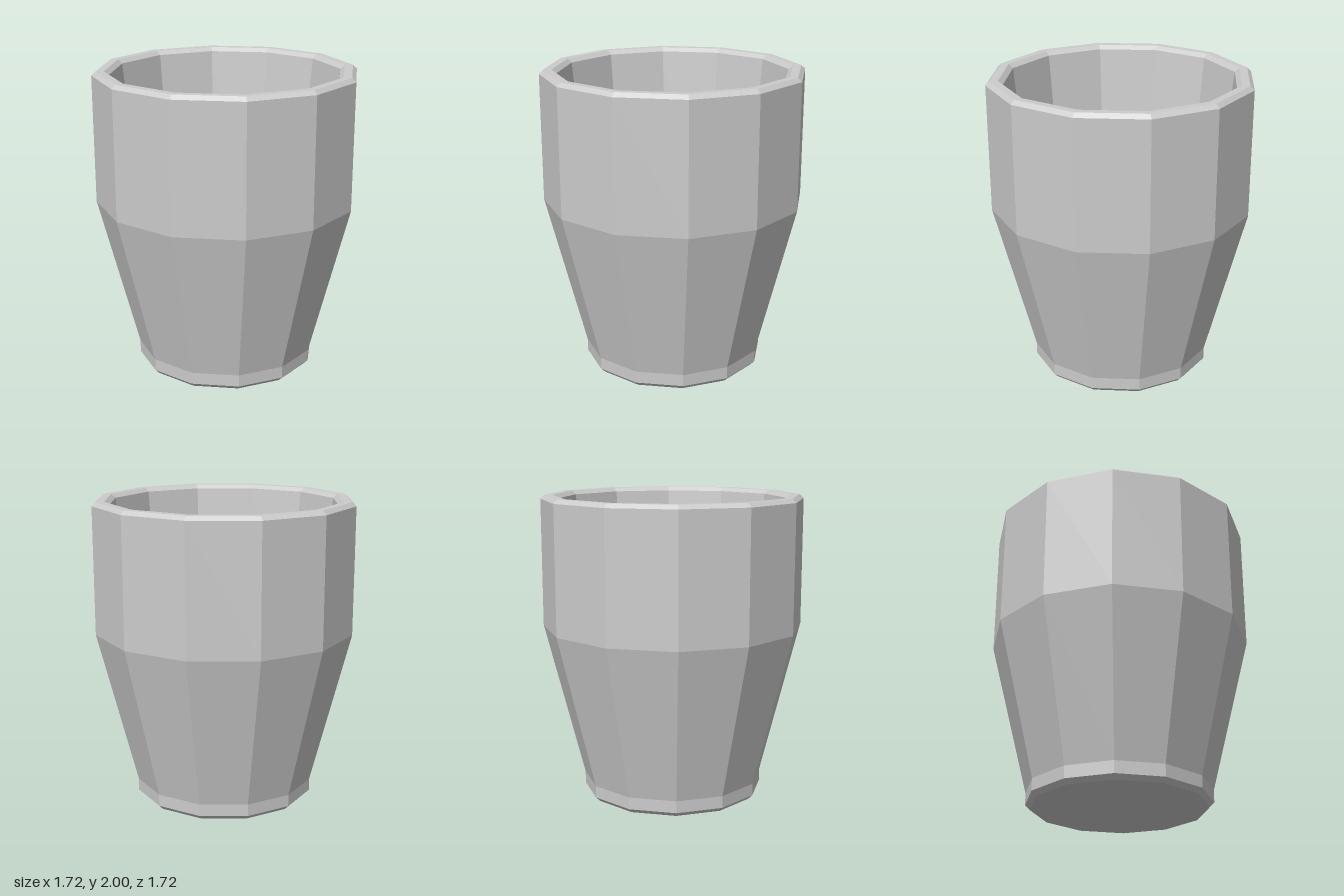
import * as THREE from 'three';

export function createModel() {
  const group = new THREE.Group();
  group.name = 'cup';

  // Closed cross-section: underside, outer wall, bevelled rim, inner wall, floor
  const profile = [
    [0, 0], [0.57, 0], [0.6, 0.03], [0.6, 0.11],
    [0.86, 1.14], [0.86, 1.975], [0.833, 2],
    [0.78, 2], [0.75, 1.975],
    [0.562, 0.11], [0, 0.11],
  ].map(([r, y]) => new THREE.Vector2(r, y));

  // Twelve flat sides with corners on the x and z axes
  const body = new THREE.Mesh(
    new THREE.LatheGeometry(profile, 12),
    new THREE.MeshStandardMaterial({ color: 0xcccccc, flatShading: true })
  );
  body.name = 'cupBody';
  group.add(body);
  return group;
}
